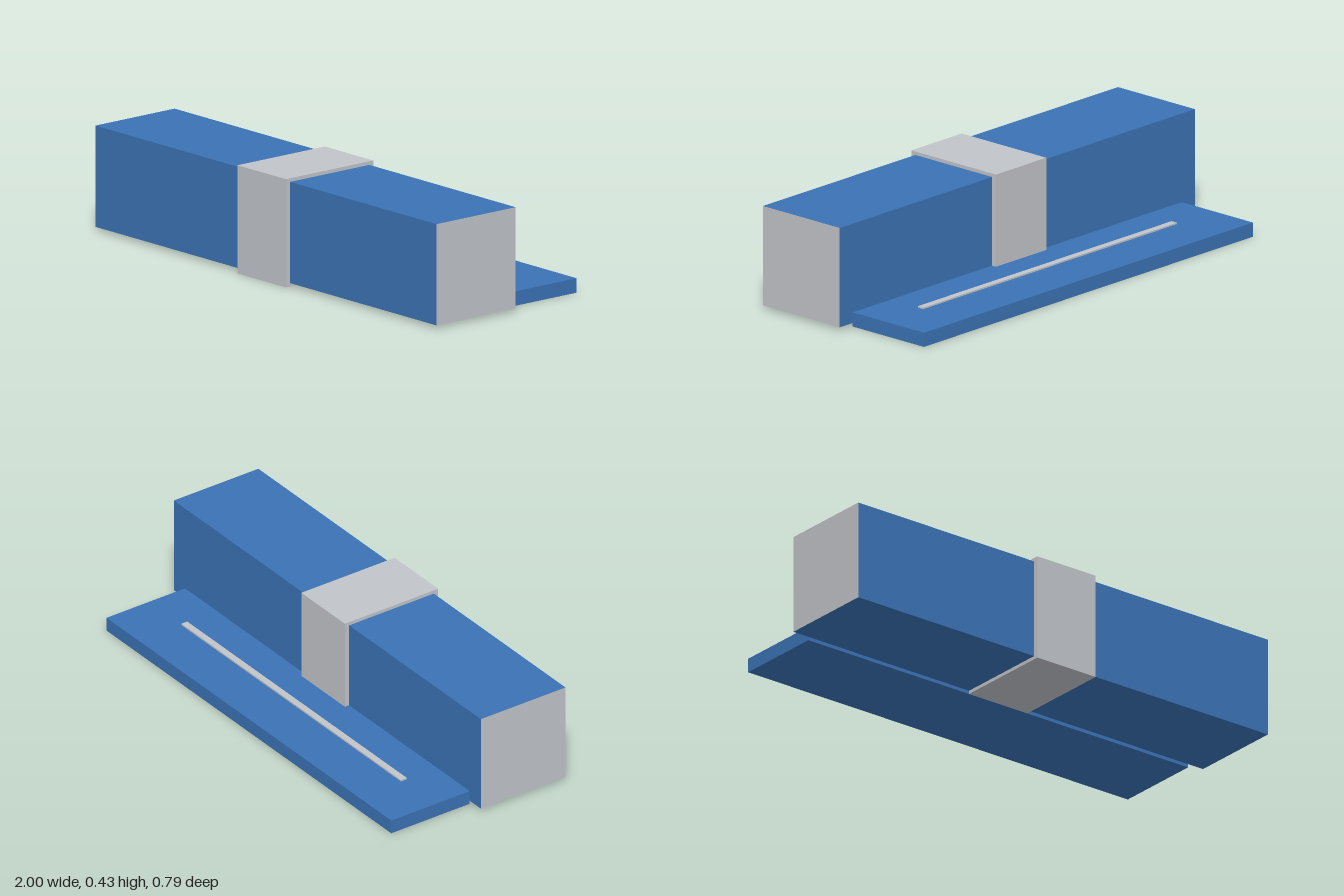
import * as THREE from 'three';

export function createModel() {
  const group = new THREE.Group();
  const blue = new THREE.MeshStandardMaterial({ color: 0x3a72b4 });
  blue.name = 'blue';
  const grey = new THREE.MeshStandardMaterial({ color: 0xc0c3c8 });
  grey.name = 'light grey';

  // Box centred on x, given its half width and its y and z ranges
  function addBox(name, halfWidth, [y0, y1], [z0, z1], material) {
    const geometry = new THREE.BoxGeometry(2 * halfWidth, y1 - y0, z1 - z0);
    const mesh = new THREE.Mesh(geometry, material);
    mesh.position.set(0, (y0 + y1) / 2, (z0 + z1) / 2);
    mesh.name = name;
    group.add(mesh);
  }

  // Long square beam with grey ends
  addBox('beam', 1, [0.014, 0.414], [-0.025, 0.375], [grey, grey, blue, blue, blue, blue]);
  // Band wrapped around the middle, its underside just above the base plate's
  addBox('centreBand', 0.142, [0.0005, 0.428], [-0.045, 0.396], grey);
  // Flat plate behind the beam, with a raised strip on top
  addBox('basePlate', 0.927, [0, 0.057], [-0.396, -0.025], blue);
  addBox('plateStrip', 0.715, [0.057, 0.063], [-0.196, -0.168], grey);

  return group;
}
